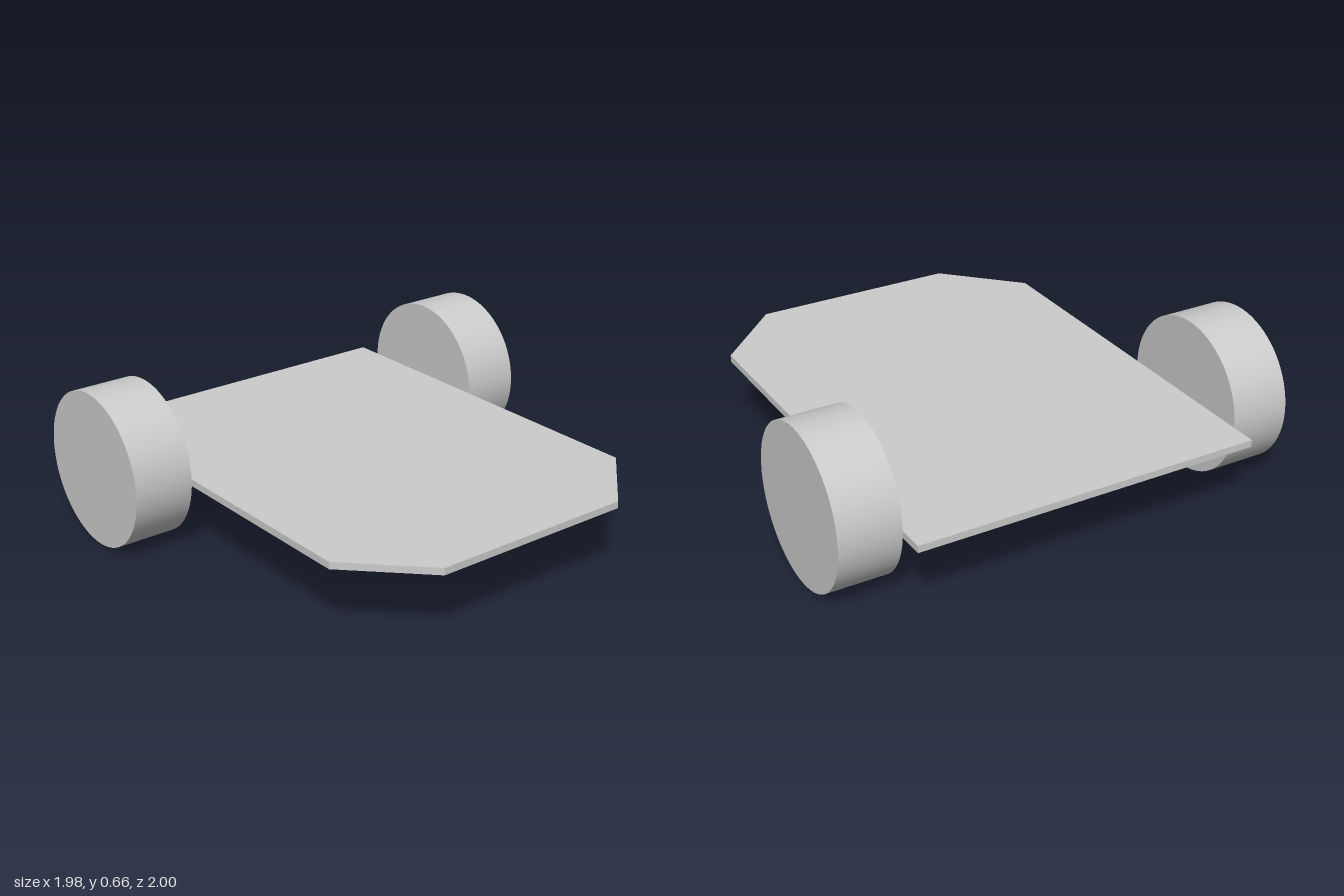
import * as THREE from 'three';

const HALF_LENGTH = 0.99, HALF_WIDTH = 0.743, CHAMFER = 0.297;
const PLATE_BOTTOM = 0.303, PLATE_THICKNESS = 0.03;
const WHEEL_RADIUS = 0.331, WHEEL_WIDTH = 0.257, WHEEL_X = -0.547;

export function createModel() {
  const model = new THREE.Group();
  model.name = 'twoWheeledChassis';
  const material = new THREE.MeshStandardMaterial({ color: 0xcccccc });

  // Flat base plate with two chamfered corners at the +x end
  const outline = new THREE.Shape([
    [-HALF_LENGTH, -HALF_WIDTH],
    [HALF_LENGTH - CHAMFER, -HALF_WIDTH],
    [HALF_LENGTH, -HALF_WIDTH + CHAMFER],
    [HALF_LENGTH, HALF_WIDTH - CHAMFER],
    [HALF_LENGTH - CHAMFER, HALF_WIDTH],
    [-HALF_LENGTH, HALF_WIDTH],
  ].map(([x, y]) => new THREE.Vector2(x, y)));
  const plateGeometry = new THREE.ExtrudeGeometry(outline, { depth: PLATE_THICKNESS, bevelEnabled: false });
  plateGeometry.rotateX(-Math.PI / 2);
  const plate = new THREE.Mesh(plateGeometry, material);
  plate.name = 'basePlate';
  plate.position.y = PLATE_BOTTOM;
  model.add(plate);

  // Solid wheels, flush against the plate's long sides
  const wheelGeometry = new THREE.CylinderGeometry(WHEEL_RADIUS, WHEEL_RADIUS, WHEEL_WIDTH, 96);
  wheelGeometry.rotateX(Math.PI / 2);
  for (const [name, side] of [['frontWheel', 1], ['backWheel', -1]]) {
    const wheel = new THREE.Mesh(wheelGeometry, material);
    wheel.name = name;
    wheel.position.set(WHEEL_X, WHEEL_RADIUS, side * (HALF_WIDTH + WHEEL_WIDTH / 2));
    model.add(wheel);
  }
  return model;
}
